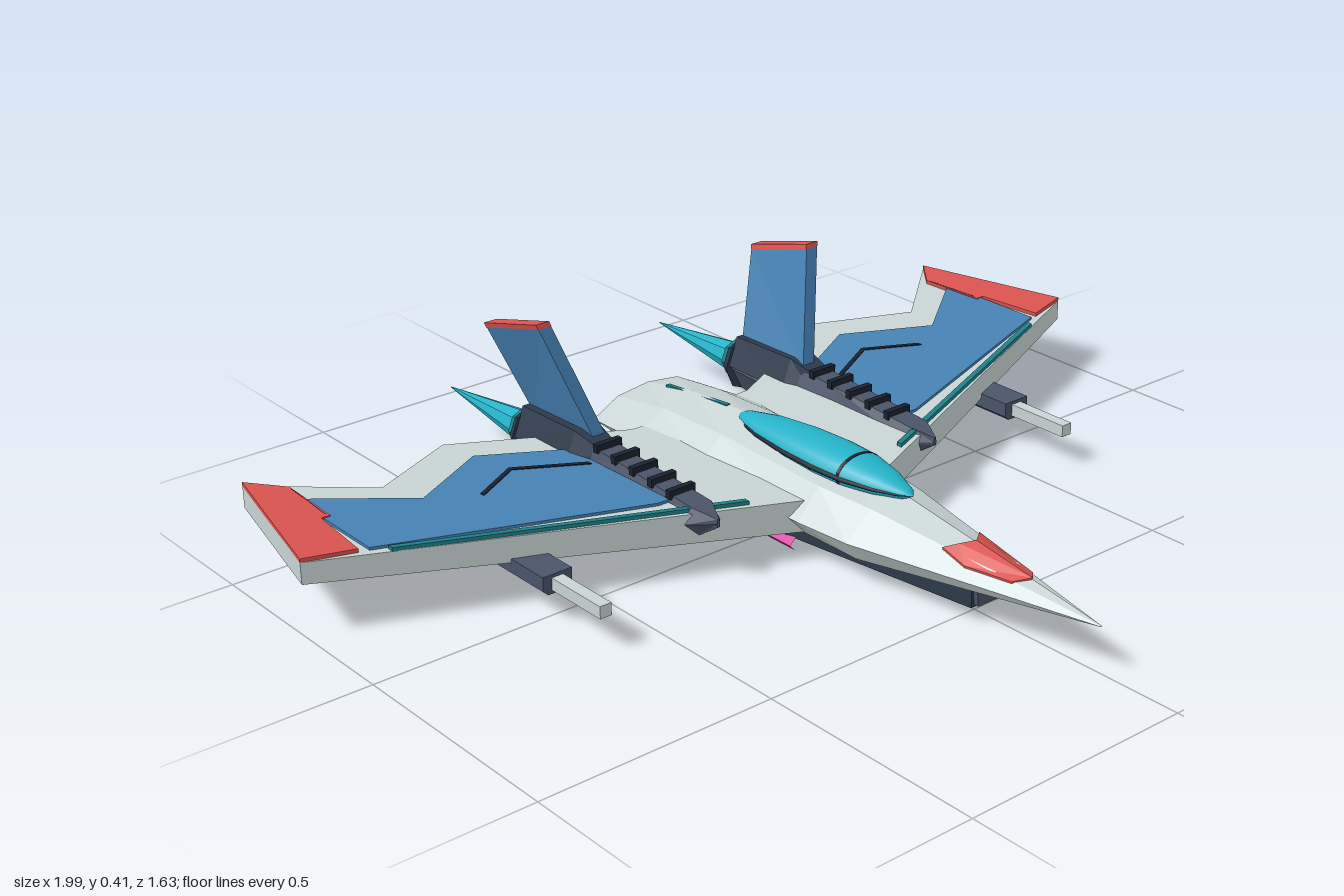
import * as THREE from 'three';

const paint = (name, color) => {
  const m = new THREE.MeshStandardMaterial({ color });
  m.name = name;
  return m;
};

// Flat-shaded copy of a geometry
function facet(geo) {
  const g = geo.index ? geo.toNonIndexed() : geo;
  g.computeVertexNormals();
  return g;
}

// Copy reflected in x, with corner order restored
function reflect(geo) {
  const g = geo.clone(), p = g.attributes.position;
  const a = new THREE.Vector3(), b = new THREE.Vector3();
  for (let i = 0; i < p.count; i += 3) {
    a.fromBufferAttribute(p, i + 1);
    b.fromBufferAttribute(p, i + 2);
    p.setXYZ(i + 1, b.x, b.y, b.z);
    p.setXYZ(i + 2, a.x, a.y, a.z);
  }
  g.scale(-1, 1, 1);
  g.computeVertexNormals();
  return g;
}

// Skin over rings listed front to back, each counter-clockwise from the front
function loft(rings) {
  const out = [], n = rings[0].length;
  const tri = (...pts) => pts.forEach(p => out.push(...p));
  for (let r = 0; r < rings.length - 1; r++) {
    for (let i = 0; i < n; i++) {
      const j = (i + 1) % n, A = rings[r], B = rings[r + 1];
      tri(A[i], B[i], A[j]);
      tri(A[j], B[i], B[j]);
    }
  }
  const F = rings[0], L = rings[rings.length - 1];
  for (let i = 1; i < n - 1; i++) {
    tri(F[0], F[i], F[i + 1]);
    tri(L[0], L[i + 1], L[i]);
  }
  const g = new THREE.BufferGeometry();
  g.setAttribute('position', new THREE.Float32BufferAttribute(out, 3));
  return facet(g);
}

// Symmetric ring from a half profile (bottom to top) about x = cx
const ring = (z, half, cx = 0) => [
  ...half.map(([x, y]) => [cx + x, y, z]),
  ...half.slice().reverse().filter(([x]) => x > 0).map(([x, y]) => [cx - x, y, z]),
];

// Plan outline of [x, z] points, raised between two height rules
function slab(outline, low, high) {
  const shape = new THREE.Shape(outline.map(([x, z]) => new THREE.Vector2(x, -z)));
  const g = new THREE.ExtrudeGeometry(shape, { depth: 1, bevelEnabled: false });
  g.rotateX(-Math.PI / 2);
  const p = g.attributes.position;
  for (let i = 0; i < p.count; i++) {
    const x = p.getX(i), z = p.getZ(i);
    p.setY(i, THREE.MathUtils.lerp(low(x, z), high(x, z), p.getY(i)));
  }
  return facet(g);
}

const strip = (path, w) => [...path, ...path.slice().reverse().map(([x, z]) => [x, z - w])];
const box = (w, h, d, x, y, z) => facet(new THREE.BoxGeometry(w, h, d).translate(x, y, z));
const rod = (rBack, rFront, len, sides, x, y, z, open = false) =>
  facet(new THREE.CylinderGeometry(rFront, rBack, len, sides, 1, open).rotateX(Math.PI / 2).translate(x, y, z));

export function createModel() {
  const model = new THREE.Group();
  model.name = 'fighterCraft';
  const hull = paint('hullGrey', 0xc8d4d4);
  const blue = paint('panelBlue', 0x4682b4);
  const red = paint('markingRed', 0xd9534f);
  const teal = paint('glowTeal', 0x24b2c8);
  const deepTeal = paint('trimTeal', 0x1f7f88);
  const slate = paint('slate', 0x4a5568);
  const navy = paint('darkSlate', 0x2d3a4c);
  const black = paint('seamBlack', 0x1a222e);
  const magenta = paint('emitterMagenta', 0xd4209c);

  const add = (name, geo, mat) => {
    const m = new THREE.Mesh(geo, mat);
    m.name = name;
    model.add(m);
  };
  const pair = (name, geo, mat) => {
    add(name + 'Left', geo, mat);
    add(name + 'Right', reflect(geo), mat);
  };

  // Fuselage
  const noseHalf = [[0.1, 0.06], [0.125, 0.1], [0.065, 0.155], [0, 0.178]];
  add('fuselage', loft([
    ring(0.815, [[0.001, 0.099], [0.002, 0.1], [0.001, 0.101], [0, 0.102]]),
    ring(0.28, noseHalf),
    ring(0.15, [[0.1, 0.06], [0.135, 0.1], [0.08, 0.16], [0, 0.182]]),
    ring(-0.15, [[0.11, 0.06], [0.145, 0.11], [0.075, 0.165], [0, 0.19]]),
    ring(-0.34, [[0.11, 0.06], [0.157, 0.115], [0.075, 0.16], [0, 0.178]]),
    ring(-0.49, [[0.1, 0.07], [0.145, 0.105], [0.08, 0.14], [0, 0.15]]),
  ]), hull);
  add('spineSeam', slab([[-0.005, -0.22], [0.005, -0.22], [0.005, -0.42], [-0.005, -0.42]],
    () => 0.16, (x, z) => 0.189 + Math.min(0, (z + 0.2) * 0.1)), deepTeal);

  // Red nose marking, laid on the sloping nose faces
  const noseY = (x, z) => {
    const t = (0.815 - z) / 0.535, u = Math.abs(x) / t;
    const y = u < 0.065 ? 0.178 - u * 0.354 : 0.155 - (u - 0.065) * 0.917;
    return 0.1 + t * (y - 0.1);
  };
  pair('noseMark', slab([[0, 0.5], [0.025, 0.48], [0.048, 0.46], [0.05, 0.52], [0.028, 0.62], [0, 0.645]],
    (x, z) => noseY(x, z) - 0.002, (x, z) => noseY(x, z) + 0.005), red);

  // Canopy with dark sill and frame
  const canopyProfile = [[0, -0.265], [0.022, -0.225], [0.043, -0.15], [0.056, -0.05], [0.06, 0.04],
    [0.056, 0.12], [0.04, 0.19], [0.018, 0.245], [0, 0.265]];
  const canopy = (w, h) => new THREE.LatheGeometry(canopyProfile.map(([r, z]) => new THREE.Vector2(r, z)), 20)
    .rotateX(Math.PI / 2).scale(w, h, 1).translate(0, 0.178, 0.065);
  add('canopy', canopy(1, 0.62), teal);
  add('canopySill', canopy(1.1, 0.2), black);
  add('canopyFrame', facet(new THREE.CylinderGeometry(0.057, 0.057, 0.008, 20)
    .rotateX(Math.PI / 2).scale(1, 0.63, 1).translate(0, 0.178, 0.175)), black);

  // Belly fairing, keel and side rails
  add('belly', loft([
    ring(0.54, [[0.03, 0.038], [0.035, 0.085]]),
    ring(0.02, [[0.085, 0.036], [0.095, 0.08]]),
    ring(-0.48, [[0.08, 0.045], [0.09, 0.085]]),
  ]), slate);
  add('keel', loft([
    ring(0.1, [[0, 0.034], [0.03, 0.045]]),
    ring(-0.15, [[0, 0.008], [0.065, 0.045]]),
    ring(-0.46, [[0, 0.035], [0.04, 0.05]]),
  ]), slate);
  pair('bellyRail', loft([
    ring(0.53, [[0.007, 0.034], [0.007, 0.08]], 0.032),
    ring(0.02, [[0.012, 0.032], [0.012, 0.085]], 0.093),
    ring(-0.49, [[0.012, 0.04], [0.012, 0.09]], 0.09),
  ]), navy);
  pair('emitter', rod(0.015, 0.015, 0.08, 4, 0.095, 0.021, 0.06, true).rotateX(0), magenta);

  // Wings and their painted plates
  const top = x => 0.13 + 0.025 * x;
  const under = x => 0.06 + 0.05 * x;
  const plate = (outline, lift = 0.006) => slab(outline, x => top(x) - 0.001, x => top(x) + lift);
  pair('wing', slab([[0.05, 0.16], [0.995, -0.235], [0.91, -0.595], [0.705, -0.42],
    [0.5, -0.52], [0.155, -0.345], [0.05, -0.345]], under, top), hull);
  pair('wingPanel', plate([[0.87, -0.2], [0.34, -0.02], [0.26, -0.02], [0.26, -0.3],
    [0.49, -0.425], [0.675, -0.32], [0.87, -0.47]]), blue);
  pair('wingTipPanel', plate([[0.995, -0.235], [0.89, -0.205], [0.875, -0.36], [0.855, -0.36],
    [0.85, -0.52], [0.91, -0.595]], 0.008), red);
  pair('wingTipSeam', plate(strip([[0.86, -0.37], [0.852, -0.5]].map(([x, z]) => [x, z]), 0.012), 0.0085), black);
  pair('leadingEdgeLight', plate(strip([[0.2, 0.085], [0.84, -0.17]], 0.013), 0.008), deepTeal);
  pair('panelSeam', plate(strip([[0.33, -0.245], [0.47, -0.32], [0.58, -0.255]], 0.011), 0.008), black);

  // Engine nacelles with ribs, collars and exhaust spikes
  const nx = 0.285;
  pair('nacelle', loft([
    ring(0.095, [[0.003, 0.118], [0.004, 0.125], [0.002, 0.135]], nx),
    ring(0.045, [[0.02, 0.085], [0.042, 0.118], [0.024, 0.148]], nx),
    ring(-0.18, [[0.014, 0.055], [0.045, 0.11], [0.024, 0.162]], nx),
    ring(-0.42, [[0.014, 0.042], [0.05, 0.11], [0.028, 0.178]], nx),
    ring(-0.5, [[0.02, 0.06], [0.045, 0.11], [0.028, 0.165]], nx),
  ]), slate);
  pair('finRoot', loft([
    ring(-0.24, [[0.03, 0.12], [0.02, 0.165]], nx),
    ring(-0.32, [[0.055, 0.12], [0.03, 0.186]], nx),
    ring(-0.5, [[0.055, 0.12], [0.03, 0.182]], nx),
  ]), navy);
  for (let i = 0; i < 5; i++) {
    const z = -0.02 - i * 0.058;
    pair('nacelleRib' + (i + 1), box(0.062, 0.018, 0.014, nx, 0.153 - z * 0.07, z), black);
  }
  pair('engineCollar', rod(0.05, 0.064, 0.025, 8, nx, 0.115, -0.51), navy);
  pair('engineRing', rod(0.042, 0.046, 0.02, 8, nx, 0.115, -0.53), deepTeal);
  pair('exhaustSpike', rod(0.001, 0.036, 0.285, 8, nx, 0.113, -0.672), teal);

  // Canted tail fins with red caps
  const edge = (z0, y0, z1, y1, x0, x1, t) =>
    [[x0 + t, y0, z0], [x1 + t, y1, z1], [x1 - t, y1, z1], [x0 - t, y0, z0]];
  pair('tailFin', loft([
    edge(-0.285, 0.165, -0.36, 0.408, 0.275, 0.35, 0.015),
    edge(-0.49, 0.155, -0.543, 0.358, 0.275, 0.35, 0.015),
  ]), blue);
  pair('finCap', loft([
    edge(-0.359, 0.405, -0.362, 0.415, 0.349, 0.352, 0.016),
    edge(-0.543, 0.355, -0.546, 0.365, 0.349, 0.352, 0.016),
  ]), red);

  // Underwing guns
  pair('gunPod', loft([
    ring(0.015, [[0.022, 0.06], [0.033, 0.07], [0.033, 0.1]], 0.605),
    ring(-0.26, [[0.022, 0.06], [0.033, 0.07], [0.033, 0.1]], 0.605),
    ring(-0.3, [[0.015, 0.075], [0.022, 0.08], [0.022, 0.1]], 0.605),
  ]), slate);
  pair('gunBarrel', box(0.026, 0.026, 0.17, 0.605, 0.08, 0.078), hull);

  return model;
}
